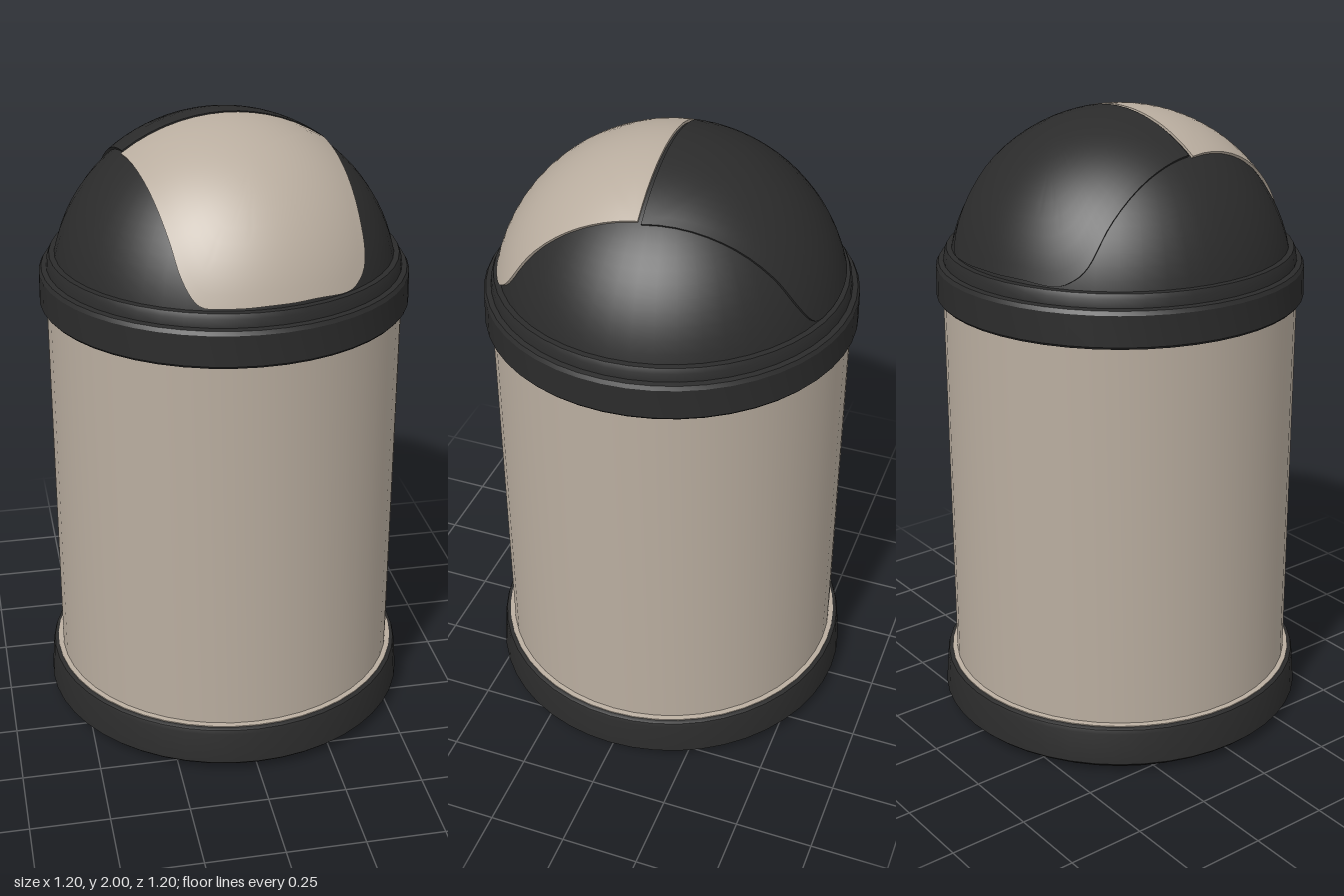
import * as THREE from 'three';
import { toCreasedNormals } from 'three/addons/utils/BufferGeometryUtils.js';

const SEGMENTS = 48;
const DOME_Y = 1.45; // height of the dome's sphere centre
const DOME_R = 0.543;
const FLAP_R = 0.551;

const black = new THREE.MeshStandardMaterial({ color: 0x2b2b2b });
black.name = 'black plastic';
const steel = new THREE.MeshStandardMaterial({ color: 0xb9ad9f });
steel.name = 'warm steel';

// Turned part from a [radius, height] profile, bottom to top
function turned(name, profile, material) {
  const points = profile.map(([r, y]) => new THREE.Vector2(r, y));
  const geometry = toCreasedNormals(new THREE.LatheGeometry(points, SEGMENTS), 0.5);
  const mesh = new THREE.Mesh(geometry, material);
  mesh.name = name;
  return mesh;
}

// Plan outline [x, z] of one flap half: round the free edge, then along the hinge line
function flapOutline() {
  const edge = [
    [0.315, -0.014], [0.335, 0.14], [0.35, 0.3], [0.35, 0.38], [0.315, 0.43], [0.25, 0.474],
    [0.12, 0.521], [0, 0.535], [-0.1, 0.526], [-0.175, 0.503], [-0.212, 0.465],
    [-0.235, 0.4], [-0.275, 0.24], [-0.32, 0.026],
  ].map(([x, z]) => new THREE.Vector3(x, 0, z));
  const points = new THREE.CatmullRomCurve3(edge).getPoints(60);
  const first = edge[0], last = edge[edge.length - 1];
  for (let i = 1; i < 14; i++) points.push(last.clone().lerp(first, i / 14));
  return points;
}

// Curved plate on the dome, made of rings growing from its middle, with a turned-down edge
function flapGeometry() {
  const RINGS = 10;
  const toDirection = (p) =>
    new THREE.Vector3(p.x, Math.sqrt(FLAP_R ** 2 - p.x ** 2 - p.z ** 2), p.z).normalize();
  const outline = flapOutline().map(toDirection);
  const middle = toDirection(new THREE.Vector3(0.02, 0, 0.26));
  const n = outline.length;
  const positions = [], index = [];
  for (let k = 0; k <= RINGS + 1; k++) {
    const t = Math.min(k / RINGS, 1);
    const radius = k > RINGS ? DOME_R - 0.012 : FLAP_R;
    for (const dir of outline) {
      const p = middle.clone().lerp(dir, t).normalize().multiplyScalar(radius);
      positions.push(p.x, p.y + DOME_Y, p.z);
    }
  }
  for (let k = 0; k <= RINGS; k++) {
    for (let j = 0; j < n; j++) {
      const a = k * n + j, b = k * n + ((j + 1) % n);
      const c = a + n, d = b + n;
      index.push(a, d, c);
      if (k > 0) index.push(a, b, d);
    }
  }
  const geometry = new THREE.BufferGeometry();
  geometry.setAttribute('position', new THREE.Float32BufferAttribute(positions, 3));
  geometry.setIndex(index);
  return toCreasedNormals(geometry, 0.6);
}

export function createModel() {
  const model = new THREE.Group();
  model.name = 'domeBin';

  // Foot ring with a recessed underside
  model.add(turned('base', [
    [0, 0.035], [0.43, 0.035], [0.47, 0], [0.555, 0], [0.56, 0.03], [0.59, 0.025],
    [0.6, 0.035], [0.592, 0.14], [0.588, 0.152], [0.578, 0.157], [0.54, 0.157],
  ], black));

  // Drum, with a narrow flange resting on the base
  model.add(turned('drum', [
    [0.576, 0.155], [0.576, 0.16], [0.56, 0.162], [0.56, 1.43],
  ], steel));

  // Collar between drum and dome
  model.add(turned('collar', [
    [0.54, 1.415], [0.574, 1.412], [0.581, 1.42], [0.579, 1.515], [0.572, 1.527],
    [0.556, 1.53], [0.553, 1.555], [0.546, 1.57], [0.52, 1.572],
  ], black));

  // Dome shell
  const domeProfile = [];
  for (let i = 0; i <= 20; i++) {
    const a = 0.14 + (Math.PI / 2 - 0.14) * (i / 20);
    domeProfile.push([Math.max(0, DOME_R * Math.cos(a)), DOME_Y + DOME_R * Math.sin(a)]);
  }
  model.add(turned('dome', domeProfile, black));

  // Swing flap: steel front half and black back half, turned half way round
  const geometry = flapGeometry();
  const frontFlap = new THREE.Mesh(geometry, steel);
  frontFlap.name = 'frontFlap';
  const backFlap = new THREE.Mesh(geometry, black);
  backFlap.name = 'backFlap';
  backFlap.rotation.y = Math.PI;
  model.add(frontFlap, backFlap);

  return model;
}
